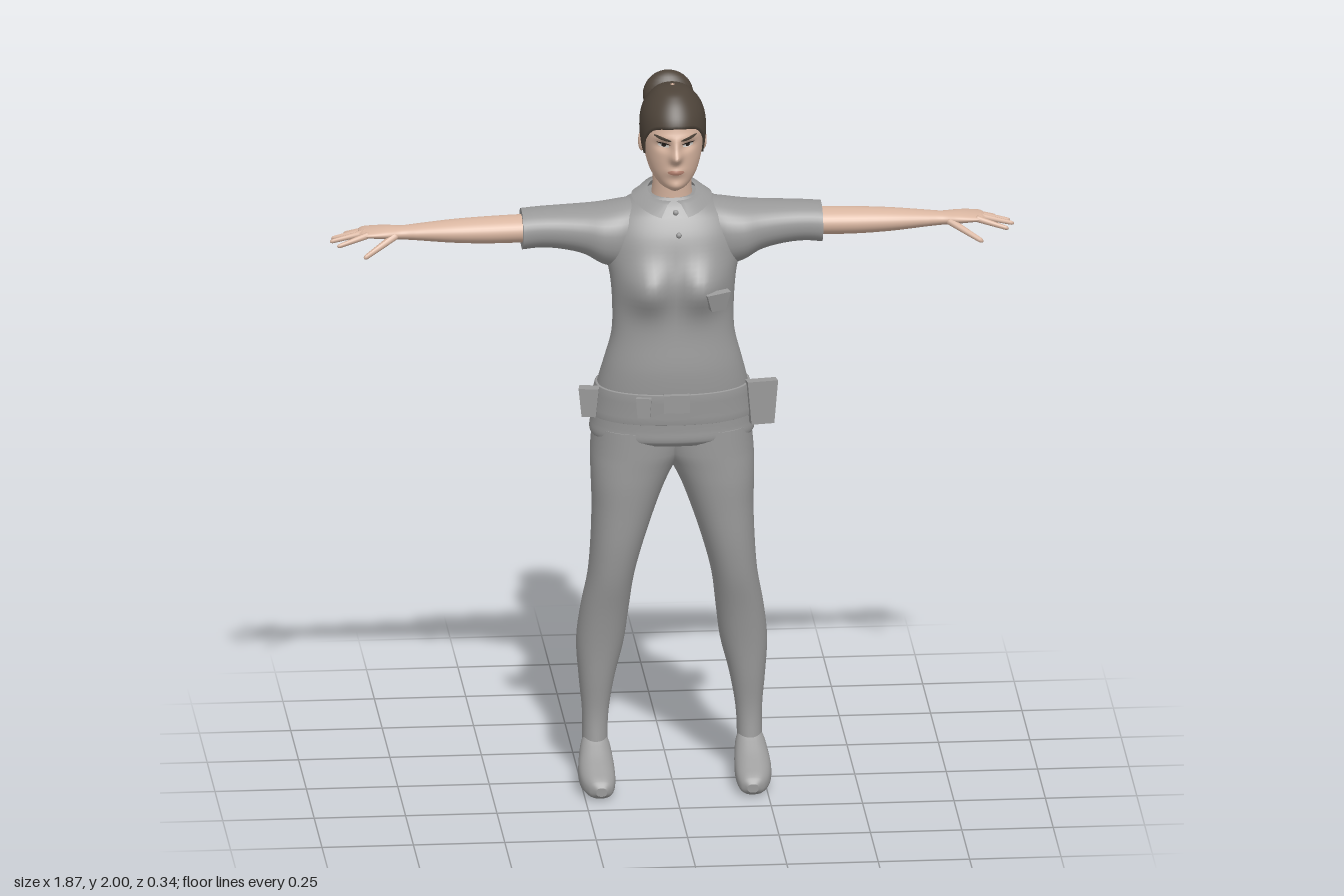
import * as THREE from 'three';

const mat = (name, color) => Object.assign(new THREE.MeshStandardMaterial({ color }), { name });

// Cubic interpolation of a table of rows [t, ...values]
function sample(rows, t) {
  let i = 0;
  while (i < rows.length - 2 && t > rows[i + 1][0]) i++;
  const a = rows[i], b = rows[i + 1], p = rows[i - 1] || a, n = rows[i + 2] || b;
  const h = b[0] - a[0], s = Math.min(1, Math.max(0, (t - a[0]) / h)), s2 = s * s, s3 = s2 * s;
  return a.slice(1).map((_, j) => {
    const k = j + 1;
    const m0 = (b[k] - p[k]) / (b[0] - p[0]) * h, m1 = (n[k] - a[k]) / (n[0] - a[0]) * h;
    return (2 * s3 - 3 * s2 + 1) * a[k] + (s3 - 2 * s2 + s) * m0 + (3 * s2 - 2 * s3) * b[k] + (s3 - s2) * m1;
  });
}

// Indexed surface from rings of points
function skinRings(rings, closed = true) {
  const n = rings[0].length, idx = [], cols = closed ? n : n - 1;
  for (let j = 0; j < rings.length - 1; j++) for (let i = 0; i < cols; i++) {
    const a = j * n + i, b = j * n + (i + 1) % n;
    idx.push(a, b, b + n, a, b + n, a + n);
  }
  const g = new THREE.BufferGeometry();
  g.setAttribute('position', new THREE.Float32BufferAttribute(rings.flat().flatMap(p => [p.x, p.y, p.z]), 3));
  g.setIndex(idx);
  g.computeVertexNormals();
  return g;
}

// Point on an oval section; values are [aMin, aMax, bMin, bMax] across the axis
function ovalPoint(axis, t, [a0, a1, b0, b1], th, power = 2) {
  const f = c => Math.sign(c) * Math.abs(c) ** (2 / power);
  const p = new THREE.Vector3();
  p.setComponent(axis, t);
  p.setComponent((axis + 2) % 3, (a0 + a1) / 2 + (a1 - a0) / 2 * f(Math.sin(th)));
  p.setComponent((axis + 1) % 3, (b0 + b1) / 2 + (b1 - b0) / 2 * f(Math.cos(th)));
  return p;
}

// Capped loft through oval sections along an axis (0 x, 1 y, 2 z)
function loft(axis, rows, { n = 36, power = 2, rule = p => p, sub = 4 } = {}) {
  const ts = [rows[0][0]];
  for (let i = 1; i < rows.length; i++) for (let k = 1; k <= sub; k++)
    ts.push(rows[i - 1][0] + (rows[i][0] - rows[i - 1][0]) * k / sub);
  const rings = ts.map(t => Array.from({ length: n }, (_, i) =>
    rule(ovalPoint(axis, t, sample(rows, t), i / n * Math.PI * 2, power))));
  const cap = r => {
    const c = r.reduce((s, p) => s.add(p), new THREE.Vector3()).divideScalar(n);
    return r.map(() => c.clone());
  };
  const first = rings[0], last = rings[rings.length - 1];
  return skinRings([cap(first), first, ...rings, last, cap(last)]);
}

function mirrored(geo) {
  const g = geo.clone().scale(-1, 1, 1), ix = g.index.array;
  for (let i = 0; i < ix.length; i += 3) [ix[i], ix[i + 1]] = [ix[i + 1], ix[i]];
  g.computeVertexNormals();
  return g;
}

// Symmetric rows [y, halfWidth, zBack, zFront] to section rows
const sym = (rows, d = 0) => rows.map(([y, x, b, f]) => [y, -x - d, x + d, b - d, f + d]);
const bump = (dx, dy, sx, sy) => Math.exp(-((dx / sx) ** 2) - (dy / sy) ** 2);

const torsoRows = [
  [0.995, 0.216, -0.148, 0.125], [1.01, 0.225, -0.156, 0.137], [1.04, 0.222, -0.153, 0.138], [1.1, 0.214, -0.145, 0.141],
  [1.16, 0.203, -0.12, 0.145], [1.22, 0.188, -0.094, 0.145], [1.3, 0.168, -0.072, 0.137], [1.38, 0.166, -0.076, 0.13],
  [1.46, 0.172, -0.09, 0.128], [1.52, 0.184, -0.104, 0.122], [1.58, 0.19, -0.112, 0.108], [1.63, 0.172, -0.118, 0.083],
  [1.66, 0.12, -0.11, 0.062], [1.685, 0.07, -0.085, 0.05]];

const headRows = sym([
  [1.722, 0.022, -0.02, 0.1], [1.735, 0.042, -0.042, 0.12], [1.765, 0.062, -0.052, 0.128], [1.8, 0.074, -0.068, 0.132],
  [1.84, 0.082, -0.08, 0.133], [1.88, 0.086, -0.087, 0.134], [1.92, 0.083, -0.088, 0.126], [1.95, 0.072, -0.078, 0.108],
  [1.975, 0.052, -0.055, 0.083], [1.99, 0.03, -0.025, 0.055], [1.996, 0.001, 0.012, 0.016]]);

// Nose, brow, sockets, lips and chin
function faceRule(p) {
  if (p.z < 0.04) return p;
  const ax = Math.abs(p.x);
  p.z += 0.03 * bump(p.x, p.y - 1.828, 0.014, 0.016) + 0.016 * bump(p.x, p.y - 1.853, 0.011, 0.022)
    - 0.011 * bump(ax - 0.034, p.y - 1.858, 0.02, 0.013) + 0.005 * bump(ax - 0.03, p.y - 1.882, 0.03, 0.01)
    + 0.008 * bump(p.x, p.y - 1.785, 0.022, 0.012) + 0.007 * bump(p.x, p.y - 1.743, 0.022, 0.014);
  return p;
}

// Thin painted patch that follows the face
function facePatch(cx, cy, w, h, tilt, lift) {
  const rings = [0, 0.25, 0.5, 0.75, 1].map(r => Array.from({ length: 20 }, (_, i) => {
    const a = i / 20 * Math.PI * 2, x = cx + w * r * Math.cos(a), y = cy + h * r * Math.sin(a) + tilt * w * r * Math.cos(a);
    const s = sample(headRows, y), p = faceRule(ovalPoint(1, y, s, Math.asin(x / s[1])));
    p.z += lift;
    return p;
  }));
  return skinRings(rings.reverse());
}

export function createModel() {
  const group = new THREE.Group();
  const cloth = mat('uniform grey', 0x999999), skin = mat('skin', 0xd8b5a0), hair = mat('brown hair', 0x4d4339);
  const lip = mat('lips', 0xb98573), dark = mat('dark eye', 0x2b2522), white = mat('eye white', 0xd8d4cf);
  cloth.side = hair.side = THREE.DoubleSide;
  const add = (name, geo, m) => {
    const mesh = new THREE.Mesh(geo, m);
    mesh.name = name;
    group.add(mesh);
    return mesh;
  };
  const pair = (name, geo, m) => {
    add('left' + name, geo, m);
    add('right' + name, mirrored(geo), m);
  };

  // Shirt, belt and sleeves
  add('shirt', loft(1, sym(torsoRows), { n: 64, power: 2.25, rule: p => {
    if (p.z > 0) p.z += 0.045 * bump(Math.abs(p.x) - 0.075, p.y - 1.445, 0.065, 0.065);
    else p.z += 0.012 * bump(p.x, p.y - 1.38, 0.03, 0.18);
    return p;
  } }), cloth);
  const belt = [1.06, 1.062, 1.1, 1.148, 1.15].map((y, i) => {
    const [a, b, c, d] = sample(sym(torsoRows), y), e = i % 4 ? 0.006 : 0;
    return [y, a - e, b + e, c - e, d + e];
  });
  add('belt', loft(1, belt, { n: 64, power: 2.25, sub: 2 }), cloth);
  pair('Sleeve', loft(0, [
    [0.06, -0.1, 0.05, 1.5, 1.668], [0.13, -0.112, 0.08, 1.475, 1.662], [0.19, -0.112, 0.083, 1.487, 1.653],
    [0.24, -0.105, 0.07, 1.515, 1.648], [0.3, -0.097, 0.058, 1.53, 1.645], [0.36, -0.092, 0.05, 1.535, 1.642],
    [0.41, -0.09, 0.046, 1.53, 1.638]], { power: 2.2 }), cloth);

  // Collar with an open front
  const collar = [[0.066, -0.078, 0.055, 1.692, 0.015], [0.085, -0.1, 0.08, 1.69, 0.016], [0.11, -0.124, 0.1, 1.65, 0.012]];
  add('collar', skinRings(collar.map(([x, b, f, y, dip], j) => Array.from({ length: 41 }, (_, i) => {
    const th = (0.1 + 0.12 * j) + (Math.PI * 2 - 0.2 - 0.24 * j) * i / 40;
    const p = ovalPoint(1, y - dip * Math.cos(th), [-x, x, b, f], th);
    if (j === 2) p.y += 0.026 * Math.sin(th) ** 2 - 0.012 * bump(p.x, p.z + 0.12, 0.06, 0.05);
    return p;
  })).reverse(), false), cloth);

  // Trousers and shoes
  pair('TrouserLeg', loft(1, [
    [0.1, 0.178, 0.246, -0.037, 0.052], [0.2, 0.174, 0.246, -0.046, 0.042], [0.3, 0.157, 0.255, -0.068, 0.05],
    [0.4, 0.132, 0.261, -0.085, 0.06], [0.5, 0.119, 0.25, -0.081, 0.077], [0.6, 0.106, 0.232, -0.071, 0.1],
    [0.7, 0.08, 0.224, -0.078, 0.114], [0.8, 0.047, 0.221, -0.09, 0.12], [0.87, 0.02, 0.223, -0.098, 0.124],
    [0.92, -0.006, 0.224, -0.118, 0.125], [0.96, -0.03, 0.223, -0.14, 0.126], [1.03, -0.04, 0.216, -0.147, 0.126]],
    { power: 2.2 }), cloth);
  pair('Shoe', loft(2, [
    [-0.056, 0.03, 0.06, 0.2, 0.22], [-0.05, 0, 0.09, 0.182, 0.236], [-0.02, 0, 0.13, 0.174, 0.248],
    [0.015, 0.004, 0.15, 0.17, 0.254], [0.05, 0.008, 0.125, 0.166, 0.26], [0.09, 0, 0.096, 0.164, 0.264],
    [0.13, 0, 0.07, 0.166, 0.258], [0.16, 0, 0.05, 0.175, 0.242], [0.175, 0.01, 0.034, 0.192, 0.222]],
    { power: 2.5 }), cloth);

  // Arms, hands and fingers
  pair('Arm', loft(0, [
    [0.38, -0.068, 0.035, 1.55, 1.625], [0.5, -0.063, 0.034, 1.55, 1.622], [0.6, -0.056, 0.03, 1.555, 1.617],
    [0.7, -0.047, 0.018, 1.564, 1.607], [0.74, -0.045, 0.014, 1.567, 1.603], [0.78, -0.054, 0.022, 1.57, 1.604],
    [0.82, -0.06, 0.024, 1.574, 1.601], [0.845, -0.058, 0.022, 1.577, 1.598], [0.855, -0.045, 0.01, 1.581, 1.594]]), skin);
  const up = new THREE.Vector3(0, 1, 0);
  [['Thumb', 0.76, 1.582, 0.01, 0.838, 1.54, 0.05, 0.011], ['IndexFinger', 0.835, 1.588, 0.014, 0.91, 1.566, 0.03, 0.009],
    ['MiddleFinger', 0.84, 1.59, -0.006, 0.927, 1.57, 0, 0.009], ['RingFinger', 0.84, 1.588, -0.028, 0.92, 1.566, -0.04, 0.009],
    ['LittleFinger', 0.83, 1.586, -0.048, 0.885, 1.566, -0.08, 0.008]].forEach(([name, ax, ay, az, bx, by, bz, r]) => {
    const a = new THREE.Vector3(ax, ay, az), d = new THREE.Vector3(bx, by, bz).sub(a), len = d.length();
    const g = new THREE.CapsuleGeometry(r, len, 4, 10);
    const pos = g.attributes.position;
    for (let i = 0; i < pos.count; i++) { // taper to the tip
      const k = 1 - 0.35 * (pos.getY(i) / len + 0.5);
      pos.setXYZ(i, pos.getX(i) * k, pos.getY(i), pos.getZ(i) * k);
    }
    g.applyQuaternion(new THREE.Quaternion().setFromUnitVectors(up, d.clone().normalize()));
    g.translate(...a.addScaledVector(d, 0.5).toArray());
    pair(name, g, skin);
  });

  // Neck, head and ears
  add('neck', loft(1, sym([[1.62, 0.064, -0.085, 0.05], [1.68, 0.056, -0.07, 0.05], [1.72, 0.053, -0.058, 0.052], [1.78, 0.055, -0.05, 0.055]])), skin);
  add('head', loft(1, headRows, { n: 80, sub: 7, rule: faceRule }), skin);
  pair('Ear', new THREE.SphereGeometry(1, 14, 10).scale(0.009, 0.03, 0.017).rotateY(0.3).translate(0.084, 1.84, 0.008), skin);

  // Painted face details
  pair('Eye', facePatch(0.034, 1.86, 0.015, 0.006, 0.1, 0.002), white);
  pair('Iris', facePatch(0.033, 1.861, 0.006, 0.0055, 0, 0.004), dark);
  pair('EyeLid', facePatch(0.034, 1.867, 0.018, 0.0025, 0.12, 0.004), dark);
  pair('Eyebrow', facePatch(0.036, 1.882, 0.023, 0.0045, 0.25, 0.002), hair);
  add('lips', facePatch(0, 1.785, 0.023, 0.007, 0, 0.0015), lip);

  // Hair shell above the hairline, and bun
  const hairline = [[0, 1.91], [0.7, 1.9], [1.15, 1.86], [1.4, 1.815], [1.65, 1.845], [1.95, 1.83], [2.2, 1.765], [3.15, 1.745]];
  add('hair', skinRings(Array.from({ length: 22 }, (_, j) => Array.from({ length: 72 }, (_, i) => {
    const th = i / 72 * Math.PI * 2, low = sample(hairline, Math.min(th, Math.PI * 2 - th))[0];
    const v = Math.max(0, j - 1) / 20, y = low + (1.996 - low) * (1 - (1 - v) ** 2);
    const [x0, x1, z0, z1] = sample(headRows, y), e = j ? 0.005 : -0.004;
    const p = ovalPoint(1, y, [x0 - e, x1 + e, z0 - e, z1 + e], th);
    p.y += 0.004 * v;
    return p;
  }))), hair);
  add('hairBun', new THREE.SphereGeometry(1, 28, 18).scale(0.069, 0.067, 0.038).rotateX(-0.12).translate(0, 1.925, -0.127), hair);

  // Belt equipment, pocket and buttons; taper narrows the lower edge
  const box = (name, x, y, z, w, h, d, taper = 1, ry = 0, rx = 0) => {
    const g = new THREE.BoxGeometry(w, h, d), pos = g.attributes.position;
    for (let i = 0; i < pos.count; i++) if (pos.getY(i) < 0) pos.setX(i, pos.getX(i) * taper);
    g.computeVertexNormals();
    add(name, g, cloth).position.set(x, y, z);
    group.children[group.children.length - 1].rotation.set(rx, ry, 0);
  };
  box('buckle', 0, 1.127, 0.148, 0.07, 0.05, 0.026);
  box('frontPouch', -0.088, 1.116, 0.138, 0.042, 0.056, 0.036, 0.8, -0.15);
  box('hipHolster', 0.24, 1.098, 0.063, 0.085, 0.122, 0.03, 0.75, 0.15);
  box('hipPouch', -0.232, 1.11, 0.06, 0.055, 0.08, 0.035, 0.7, -0.15);
  box('backPouch', 0.1, 1.112, -0.143, 0.05, 0.055, 0.03, 0.9, -0.2);
  box('chestPocketFlap', 0.112, 1.418, 0.147, 0.07, 0.052, 0.02, 0.6, 0.35, 0.2);
  [[0.01, 1.595, 0.106], [0.004, 1.65, 0.074]].forEach(([x, y, z]) =>
    add('button', new THREE.SphereGeometry(0.008, 10, 8).translate(x, y, z), cloth));
  return group;
}
